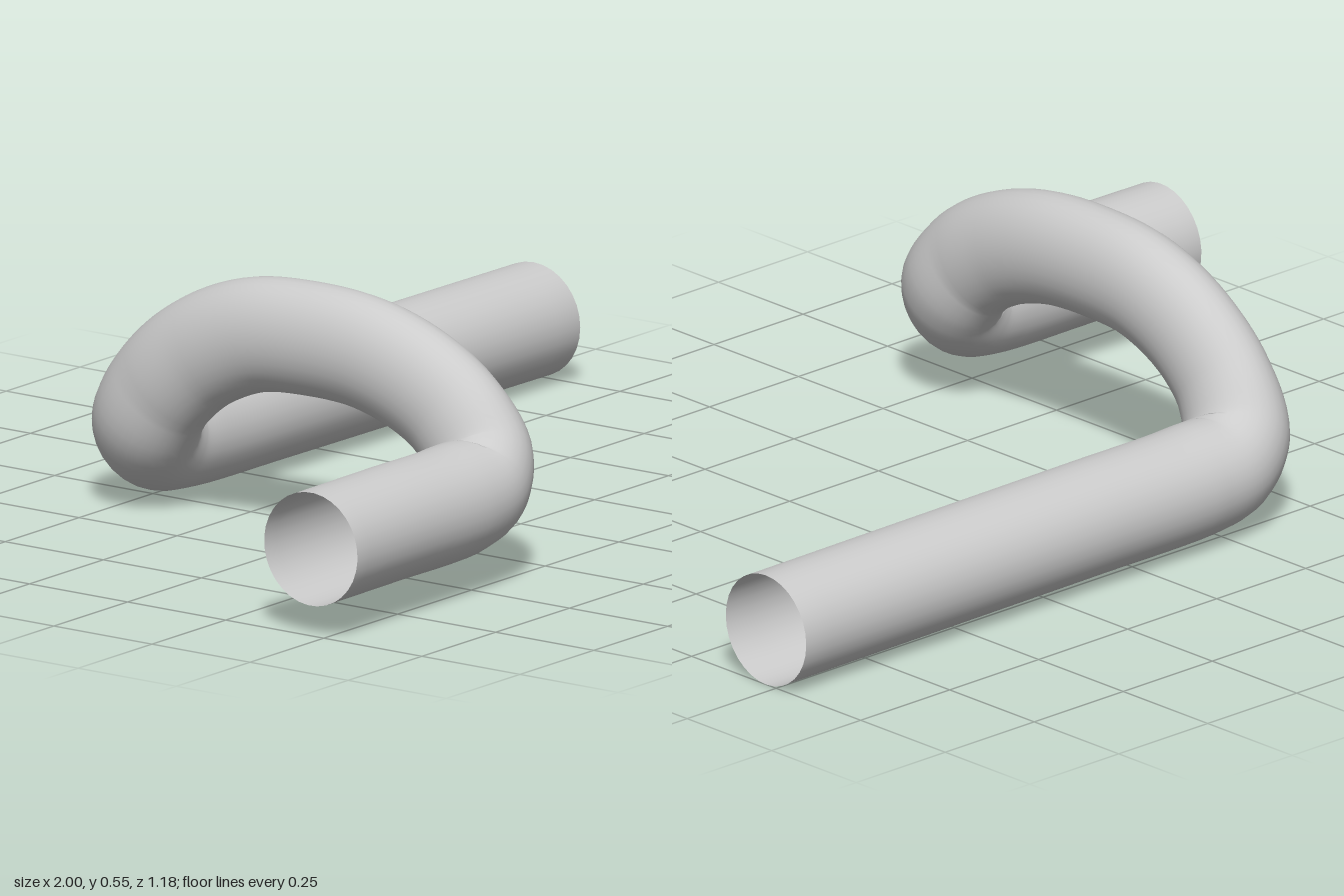
import * as THREE from 'three';

const SIDES = 32;
const STEPS = 6; // rings between two stations
const RADIUS = 0.119;

// Stations along the pipe: x, y, z, half width across the arch, tilt of the section in degrees
const stations = [
  [-1, 0.185, 0.467, 0.119, 60],
  [-0.75, 0.187, 0.467, 0.119, 60],
  [-0.52, 0.189, 0.466, 0.119, 60],
  [-0.435, 0.203, 0.459, 0.112, 60],
  [-0.388, 0.25, 0.435, 0.1, 59],
  [-0.379, 0.325, 0.37, 0.09, 52],
  [-0.377, 0.38, 0.28, 0.088, 40],
  [-0.375, 0.42, 0.15, 0.088, 21],
  [-0.375, 0.43, 0, 0.088, 0],
  [-0.375, 0.415, -0.15, 0.088, -21],
  [-0.375, 0.355, -0.285, 0.088, -40],
  [-0.37, 0.27, -0.383, 0.092, -48],
  [-0.345, 0.185, -0.443, 0.108, -54],
  [-0.285, 0.143, -0.466, 0.115, -56],
  [-0.19, 0.131, -0.47, 0.119, -56],
  [0.1, 0.128, -0.47, 0.119, -56],
  [0.55, 0.125, -0.47, 0.119, -56],
  [1, 0.122, -0.47, 0.119, -56],
];

// Sweeps an oval ring along the centre line
function sweptPipe() {
  const path = new THREE.CatmullRomCurve3(stations.map(([x, y, z]) => new THREE.Vector3(x, y, z)));
  const spans = stations.length - 1;
  const rings = spans * STEPS;
  const positions = [];
  const indices = [];

  for (let i = 0; i <= rings; i++) {
    const t = i / rings;
    const k = Math.min(Math.floor(i / STEPS), spans - 1);
    const f = i / STEPS - k;
    const width = THREE.MathUtils.lerp(stations[k][3], stations[k + 1][3], f);
    const tilt = THREE.MathUtils.degToRad(THREE.MathUtils.lerp(stations[k][4], stations[k + 1][4], f));

    const centre = path.getPoint(t);
    // the open ends are cut square to x
    const tangent = i === 0 || i === rings ? new THREE.Vector3(1, 0, 0) : path.getTangent(t);
    const up = new THREE.Vector3(0, Math.cos(tilt), Math.sin(tilt));
    const side = new THREE.Vector3().crossVectors(up, tangent).normalize();
    up.crossVectors(tangent, side).normalize();

    for (let j = 0; j < SIDES; j++) {
      const a = (j / SIDES) * Math.PI * 2;
      const p = centre.clone()
        .addScaledVector(side, width * Math.cos(a))
        .addScaledVector(up, RADIUS * Math.sin(a));
      positions.push(p.x, p.y, p.z);
      if (i < rings) {
        const n = (j + 1) % SIDES;
        const r = i * SIDES;
        const q = r + SIDES;
        indices.push(r + j, r + n, q + j, r + n, q + n, q + j);
      }
    }
  }

  const geometry = new THREE.BufferGeometry();
  geometry.setAttribute('position', new THREE.Float32BufferAttribute(positions, 3));
  geometry.setIndex(indices);
  geometry.computeVertexNormals();
  return geometry;
}

export function createModel() {
  const group = new THREE.Group();
  group.name = 'bentPipe';

  // Open pipe: short leg, arched crossover and long leg in one skin
  const material = new THREE.MeshStandardMaterial({ color: 0xcccccc, side: THREE.DoubleSide });
  const pipe = new THREE.Mesh(sweptPipe(), material);
  pipe.name = 'pipe';
  group.add(pipe);
  return group;
}
